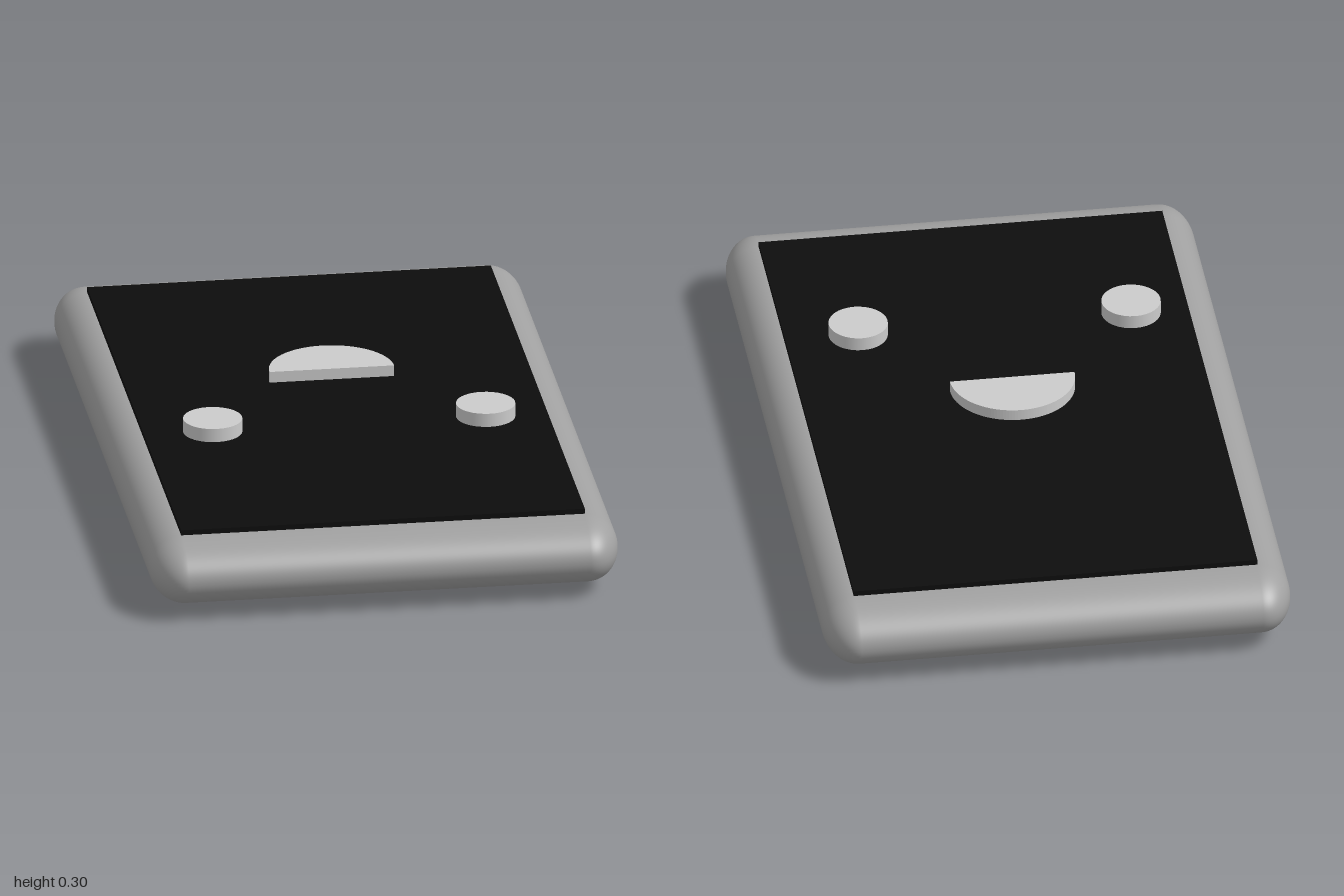
import * as THREE from 'three';
import { RoundedBoxGeometry } from 'three/addons/geometries/RoundedBoxGeometry.js';

const grey = new THREE.MeshStandardMaterial({ color: 0xcccccc });
const shellGrey = new THREE.MeshStandardMaterial({ color: 0xa0a0a0 });
const black = new THREE.MeshStandardMaterial({ color: 0x0d0d0d });

export function createModel() {
  const model = new THREE.Group();

  function add(name, geometry, material, x, y, z) {
    const mesh = new THREE.Mesh(geometry, material);
    mesh.name = name;
    mesh.position.set(x, y, z);
    model.add(mesh);
    return mesh;
  }

  // Slab with fully rounded edges, stretched lengthwise so the ends taper more
  const stretch = 1.55;
  const shell = new RoundedBoxGeometry(1.24, 0.176, 2 / stretch, 10, 0.0875);
  shell.scale(1, 1, stretch);
  add('body', shell, shellGrey, 0, 0.11, 0);

  // Thin screen plate standing just proud of the top
  add('screen', new THREE.BoxGeometry(1.07, 0.022, 1.73), black, 0, 0.201, 0);

  // Pill-shaped camera bump on the underside
  const r = 0.1135, half = 0.16;
  const pill = new THREE.Shape();
  pill.absarc(0, half, r, 0, Math.PI, false);
  pill.absarc(0, -half, r, Math.PI, Math.PI * 2, false);
  pill.closePath();
  const bump = new THREE.ExtrudeGeometry(pill, { depth: 0.026, bevelEnabled: false, curveSegments: 24 });
  bump.rotateX(-Math.PI / 2);
  add('cameraBump', bump, black, -0.341, 0, 0.557);

  // Two round buttons hovering above the screen
  for (const [name, x, z] of [['rightButton', -0.371, 0.307], ['leftButton', 0.353, 0.303]]) {
    add(name, new THREE.CylinderGeometry(0.078, 0.078, 0.037, 32), grey, x, 0.28, z);
  }

  // Half disc with its flat edge towards the front
  const semi = new THREE.Shape();
  semi.absarc(0, 0, 0.165, 0, Math.PI, false);
  semi.closePath();
  const halfDisc = new THREE.ExtrudeGeometry(semi, { depth: 0.03, bevelEnabled: false, curveSegments: 32 });
  halfDisc.rotateX(-Math.PI / 2);
  add('halfDisc', halfDisc, grey, -0.01, 0.262, -0.008);

  return model;
}
